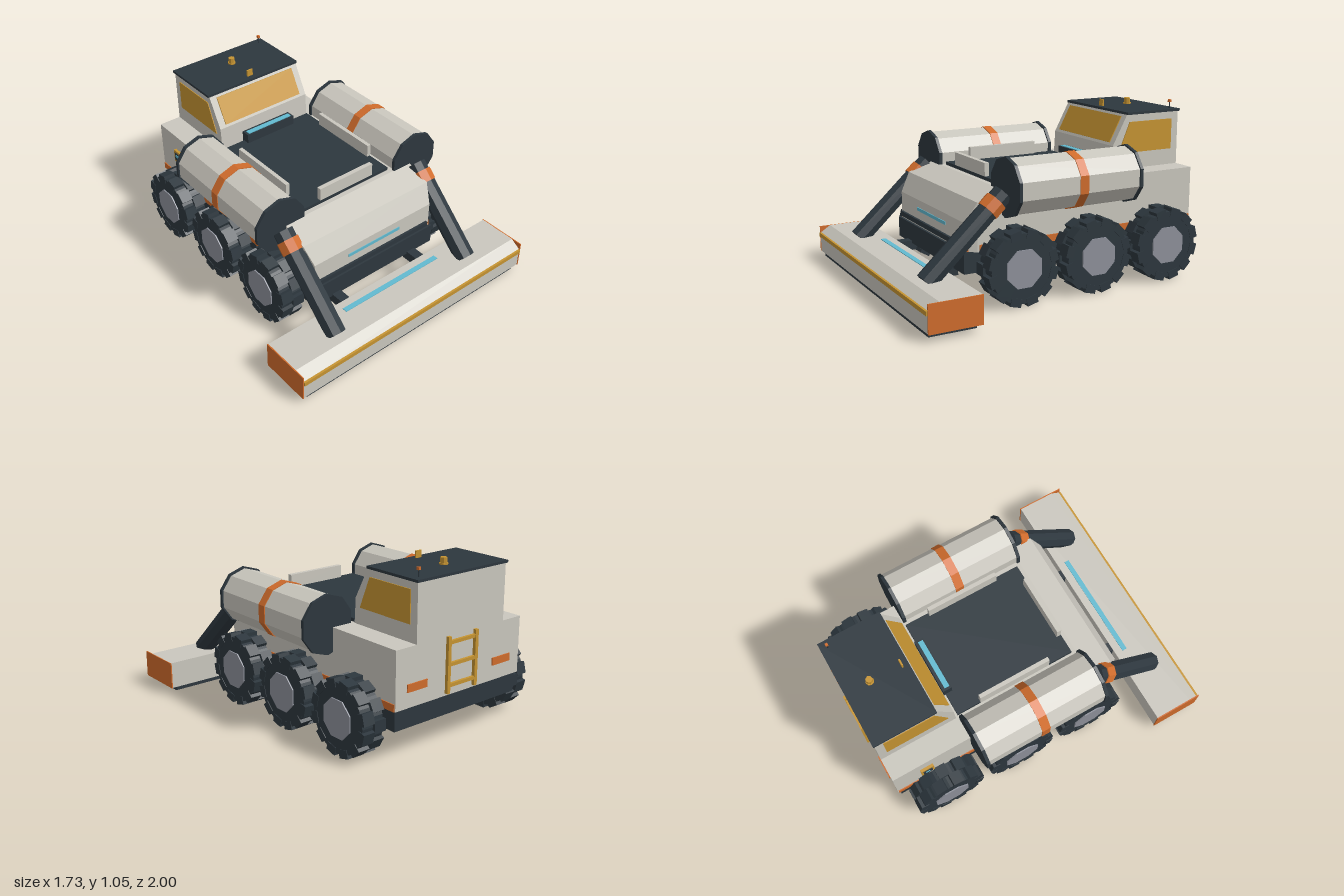
import * as THREE from 'three';

const mat = (name, color) => Object.assign(new THREE.MeshStandardMaterial({ color, flatShading: true }), { name });

export function createModel() {
  const model = new THREE.Group();
  model.name = 'sixWheeledPlough';
  const hull = mat('hullGrey', 0xcac7be);
  const dark = mat('darkSlate', 0x2d373e);
  const orange = mat('orange', 0xd06c2c);
  const gold = mat('amberGold', 0xc69432);
  const cyan = mat('cyanLight', 0x62bad0);
  const steel = mat('hubSteel', 0x8e919b);

  const add = (name, geo, material, parent = model) => {
    const m = new THREE.Mesh(geo, material);
    m.name = name;
    parent.add(m);
    return m;
  };
  // Box given by its limits on each axis
  const box = (name, material, [x0, x1], [y0, y1], [z0, z1], parent) => {
    const g = new THREE.BoxGeometry(x1 - x0, y1 - y0, z1 - z0);
    g.translate((x0 + x1) / 2, (y0 + y1) / 2, (z0 + z1) / 2);
    return add(name, g, material, parent);
  };
  // Side profile of [z, y] points, extruded across x
  const profile = (name, material, pts, width, x = 0) => {
    const shape = new THREE.Shape(pts.map(([z, y]) => new THREE.Vector2(z, y)));
    const g = new THREE.ExtrudeGeometry(shape, { depth: width, bevelEnabled: false });
    g.rotateY(-Math.PI / 2).translate(x + width / 2, 0, 0);
    return add(name, g, material);
  };
  // Cylinder between two points
  const rod = (name, material, a, b, r, sides, parent) => {
    const p = new THREE.Vector3(...a), q = new THREE.Vector3(...b);
    const m = add(name, new THREE.CylinderGeometry(r, r, p.distanceTo(q), sides), material, parent);
    m.position.copy(p).add(q).multiplyScalar(0.5);
    m.quaternion.setFromUnitVectors(new THREE.Vector3(0, 1, 0), q.sub(p).normalize());
    return m;
  };

  // Hull: rectangular sections [z, half width, top] lofted along z
  const sections = [[-0.98, 0.48, 0.66], [0.35, 0.48, 0.66], [0.51, 0.48, 0.605], [0.575, 0.45, 0.49]];
  const pos = [], idx = [];
  for (const [z, w, top] of sections) pos.push(w, 0.32, z, w, top, z, -w, top, z, -w, 0.32, z);
  for (let s = 0; s < sections.length - 1; s++) {
    for (let k = 0; k < 4; k++) {
      const a = s * 4 + k, b = s * 4 + (k + 1) % 4;
      idx.push(a, b, b + 4, a, b + 4, a + 4);
    }
  }
  const e = (sections.length - 1) * 4;
  idx.push(0, 2, 1, 0, 3, 2, e, e + 1, e + 2, e, e + 2, e + 3);
  const indexed = new THREE.BufferGeometry();
  indexed.setAttribute('position', new THREE.Float32BufferAttribute(pos, 3));
  indexed.setIndex(idx);
  const hullGeo = indexed.toNonIndexed();
  hullGeo.computeVertexNormals();
  add('hull', hullGeo, hull);

  box('chassis', dark, [-0.47, 0.47], [0.2, 0.325], [-0.965, 0.59]);
  box('noseBumper', dark, [-0.43, 0.43], [0.34, 0.37], [0.56, 0.59]);
  box('noseLight', cyan, [-0.2, 0.2], [0.422, 0.442], [0.57, 0.579]);

  // Cargo deck with rails and console
  box('deck', dark, [-0.325, 0.325], [0.65, 0.68], [-0.465, 0.32]);
  box('frontRail', hull, [-0.2, 0.2], [0.67, 0.76], [0.29, 0.318]);
  box('deckConsole', dark, [-0.18, 0.18], [0.67, 0.74], [-0.478, -0.42]);
  box('consoleLight', cyan, [-0.165, 0.165], [0.738, 0.745], [-0.46, -0.428]);

  // Cabin and windows
  profile('cabin', hull, [[-0.98, 0.64], [-0.48, 0.64], [-0.49, 0.81], [-0.59, 0.995], [-0.98, 0.995]], 0.67);
  profile('windscreen', gold, [[-0.5, 0.825], [-0.493, 0.828], [-0.577, 0.983], [-0.584, 0.98]], 0.58);
  box('roof', dark, [-0.345, 0.345], [0.995, 1.01], [-0.988, -0.59]);
  const beacon = rod('beacon', gold, [0, 1.01, -0.83], [0, 1.05, -0.83], 0.02, 8);
  beacon.scale.set(1, 1, 1);
  rod('beaconBase', gold, [0, 1.005, -0.83], [0, 1.02, -0.83], 0.025, 8);
  box('roofMarker', gold, [-0.02, 0.02], [1.005, 1.052], [-0.636, -0.626]);
  rod('antenna', dark, [0.297, 1, -0.943], [0.297, 1.052, -0.943], 0.004, 6);
  box('antennaTip', orange, [0.289, 0.305], [1.048, 1.064], [-0.951, -0.935]);

  // Rear ladder
  const ladder = new THREE.Group();
  ladder.name = 'rearLadder';
  model.add(ladder);
  for (const x of [-0.105, 0.105]) box('ladderRail', gold, [x - 0.011, x + 0.011], [0.335, 0.66], [-1, -0.978], ladder);
  for (const y of [0.38, 0.5, 0.625]) box('ladderRung', gold, [-0.105, 0.105], [y - 0.01, y + 0.01], [-0.998, -0.982], ladder);

  // Wheel with two staggered rows of lugs, outer face towards +x
  const makeWheel = () => {
    const wheel = new THREE.Group();
    wheel.name = 'wheel';
    const tyre = new THREE.CylinderGeometry(0.205, 0.205, 0.145, 24).rotateZ(Math.PI / 2);
    add('tyre', tyre, dark, wheel);
    const hub = new THREE.CylinderGeometry(0.119, 0.119, 0.16, 8).rotateY(Math.PI / 8).rotateZ(Math.PI / 2);
    add('hub', hub, steel, wheel);
    for (let row = 0; row < 2; row++) {
      for (let i = 0; i < 12; i++) {
        const lug = new THREE.BoxGeometry(0.076, 0.05, 0.07).translate(row ? 0.038 : -0.038, 0.197, 0);
        add('lug', lug.rotateX((i + row / 2) * Math.PI / 6), dark, wheel);
      }
    }
    return wheel;
  };

  for (const s of [1, -1]) {
    const side = (a, b) => (s > 0 ? [a, b] : [-b, -a]);
    box('sideStripe', orange, side(0.46, 0.486), [0.32, 0.362], [-0.975, 0.5]);
    box('stripeFront', orange, side(0.44, 0.458), [0.32, 0.362], [0.49, 0.574]);
    box('sideRail', hull, side(0.303, 0.328), [0.67, 0.76], [-0.31, 0.16]);
    box('rearLamp', orange, side(0.255, 0.4), [0.41, 0.455], [-0.987, -0.978]);
    profile('sideWindow', gold, [[-0.53, 0.76], [-0.61, 0.95], [-0.93, 0.95], [-0.93, 0.76]], 0.008, s * 0.336);

    // Wheels
    for (const z of [0.3, -0.195, -0.695]) {
      const wheel = makeWheel();
      wheel.position.set(s * 0.563, 0.235, z);
      if (s < 0) wheel.rotation.y = Math.PI;
      model.add(wheel);
      rod('axle', dark, [s * 0.4, 0.235, z], [s * 0.52, 0.235, z], 0.05, 8);
    }

    // Side tanks
    const tankPart = (name, material, r, z0, z1) => {
      const g = new THREE.CylinderGeometry(r, r, z1 - z0, 10).rotateX(Math.PI / 2);
      add(name, g.translate(s * 0.515, 0.68, (z0 + z1) / 2), material);
    };
    tankPart('tank', hull, 0.165, -0.455, 0.345);
    tankPart('tankCapFront', dark, 0.175, 0.335, 0.355);
    tankPart('tankCapRear', dark, 0.175, -0.467, -0.447);
    tankPart('tankStrap', orange, 0.17, -0.095, -0.04);

    // Plough arms and couplings
    rod('arm', dark, [s * 0.515, 0.65, 0.37], [s * 0.515, 0.21, 0.845], 0.062, 8);
    rod('armCollar', orange, [s * 0.515, 0.612, 0.411], [s * 0.515, 0.56, 0.467], 0.069, 8);
    box('ploughLink', dark, side(0.268, 0.33), [0.155, 0.215], [0.56, 0.69]);
    box('bladeEnd', orange, side(0.86, 0.867), [0.054, 0.22], [0.672, 0.988]);
  }

  // Side access panel on the right flank
  box('panelFrame', gold, [-0.497, -0.47], [0.475, 0.56], [-0.81, -0.725]);
  box('panelFace', dark, [-0.501, -0.49], [0.49, 0.545], [-0.797, -0.738]);
  box('panelScreen', cyan, [-0.504, -0.495], [0.518, 0.535], [-0.783, -0.755]);

  // Plough blade
  profile('blade', hull, [[0.675, 0.055], [0.985, 0.055], [0.985, 0.178], [0.92, 0.22], [0.675, 0.22]], 1.722);
  box('bladeStripe', gold, [-0.858, 0.858], [0.155, 0.18], [0.98, 0.995]);
  box('bladeLight', cyan, [-0.365, 0.365], [0.216, 0.224], [0.725, 0.757]);
  box('bladeSkid', dark, [-0.825, 0.825], [0.026, 0.057], [0.692, 0.97]);

  return model;
}
